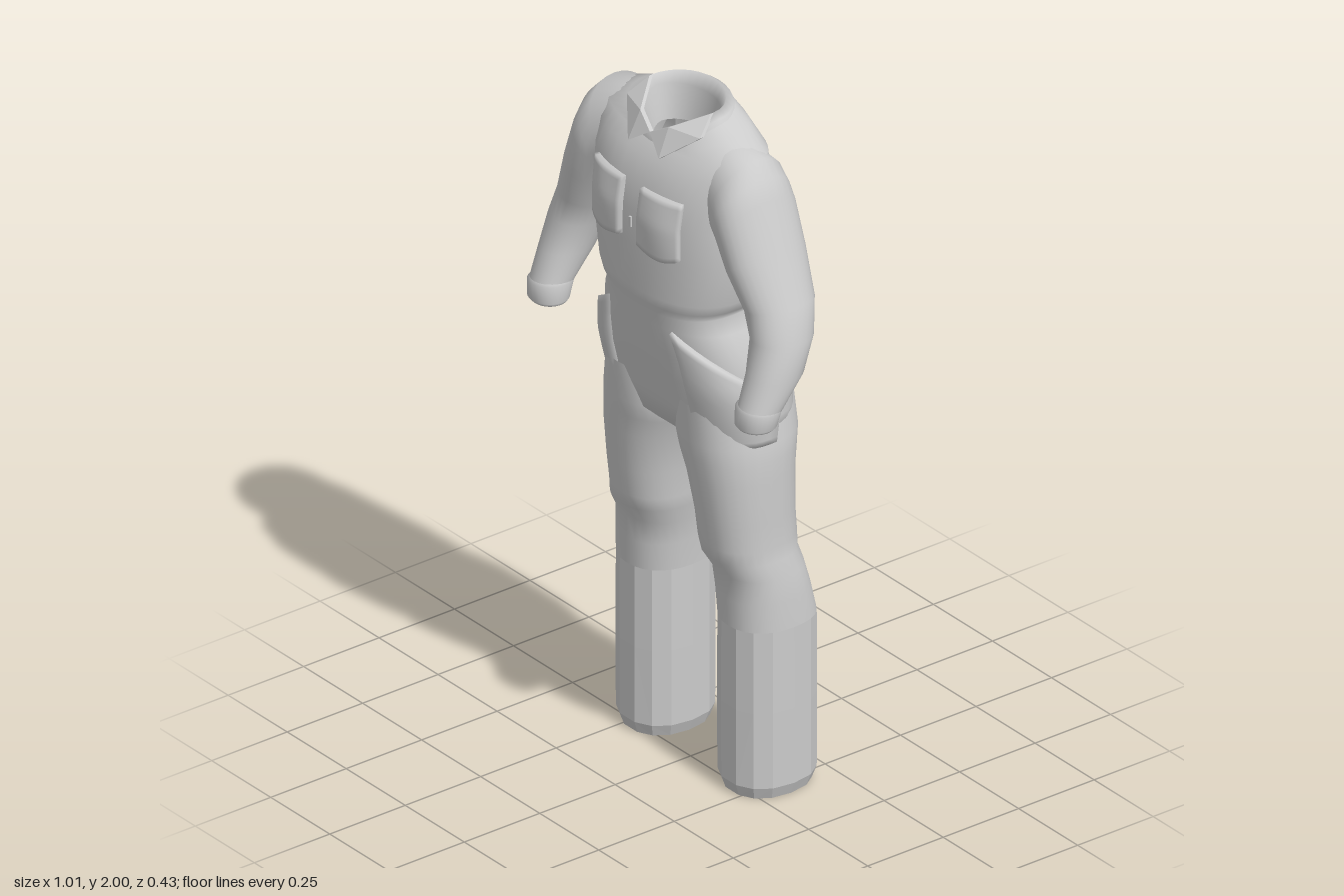
import * as THREE from 'three';

const smooth = new THREE.MeshStandardMaterial({ color: 0xcccccc, side: THREE.DoubleSide });
const faceted = new THREE.MeshStandardMaterial({ color: 0xcccccc, side: THREE.DoubleSide, flatShading: true });

// A section: outer point (ox, oy), inner point (ix, iy), front z, back z, dip of the front, lift of the back
const wide = ([y, rx, zf, zb, dip = 0, lift = 0]) => [rx, y, -rx, y, zf, zb, dip, lift];
const limb = ([y, xo, xi, zf, zb]) => [xo, y, xi, y, zf, zb, 0, 0];

// Point on a rounded-rectangle-like section at an angle (0 = outer side, PI/2 = front)
function sectionPoint([ox, oy, ix, iy, zf, zb, dip = 0, lift = 0], angle, power) {
  const soften = (v) => Math.sign(v) * Math.abs(v) ** (2 / power);
  const c = soften(Math.cos(angle)), s = soften(Math.sin(angle));
  const bend = s > 0 ? -dip * s ** 1.5 : lift * s * s;
  return new THREE.Vector3(
    (ox + ix) / 2 + c * (ox - ix) / 2,
    (oy + iy) / 2 + c * (oy - iy) / 2 + bend,
    (zf + zb) / 2 + s * (zf - zb) / 2);
}

function makeMesh(name, points, index, material) {
  let geo = new THREE.BufferGeometry().setFromPoints(points);
  geo.setIndex(index);
  if (material.flatShading) geo = geo.toNonIndexed();
  geo.computeVertexNormals();
  const mesh = new THREE.Mesh(geo, material);
  mesh.name = name;
  return mesh;
}

// Open tube through sections listed from bottom to top; side = -1 mirrors it
function loft(name, sections, { sides = 28, power = 2.3, side = 1, material = smooth } = {}) {
  const points = [], index = [];
  sections.forEach((section, i) => {
    for (let j = 0; j < sides; j++) {
      const p = sectionPoint(section, (j / sides) * Math.PI * 2, power);
      p.x *= side;
      points.push(p);
      if (i === 0) continue;
      const k = (j + 1) % sides, low = (i - 1) * sides, up = i * sides;
      const quad = [low + j, up + j, low + k, low + k, up + j, up + k];
      index.push(...(side > 0 ? quad : quad.reverse()));
    }
  });
  return makeMesh(name, points, index, material);
}

const BODY_POWER = 2.5;
const body = [
  [1.0, 0.16, 0.02, -0.1], [1.05, 0.285, 0.105, -0.18], [1.12, 0.29, 0.125, -0.207],
  [1.22, 0.288, 0.15, -0.2], [1.3, 0.272, 0.165, -0.185], [1.38, 0.24, 0.18, -0.145],
  [1.42, 0.215, 0.185, -0.13], [1.445, 0.235, 0.193, -0.145], [1.475, 0.25, 0.198, -0.165],
  [1.6, 0.275, 0.198, -0.155], [1.7, 0.275, 0.197, -0.142], [1.78, 0.28, 0.185, -0.132],
  [1.85, 0.288, 0.157, -0.122], [1.905, 0.285, 0.125, -0.108, 0.02],
  [1.94, 0.2, 0.12, -0.102, 0.045, 0.01], [1.97, 0.14, 0.12, -0.088, 0.07, 0.01],
].map(wide);

// Body section at any height
function bodySection(y) {
  const i = Math.max(1, body.findIndex((s) => s[1] >= y));
  const a = body[i - 1], b = body[i], t = (y - a[1]) / (b[1] - a[1]);
  return a.map((v, k) => v + (b[k] - v) * t);
}

// Patch pocket that wraps the body between two angles, puffed out by depth
function pocket(name, side, { from, to, top, bottom, depth }) {
  const n = 12, points = [], index = [];
  // The outermost grid lines are doubled to give the pocket a thick rim
  const steps = [0, ...Array.from({ length: n + 1 }, (_, i) => i / n), 1];
  const count = steps.length;
  steps.forEach((v, i) => steps.forEach((u, j) => {
    const angle = from + (to - from) * u;
    const y = bottom(u) + (top(u) - bottom(u)) * v;
    const rim = i === 0 || j === 0 || i === count - 1 || j === count - 1;
    const section = bodySection(y);
    const p = sectionPoint(section, angle, BODY_POWER);
    const out = new THREE.Vector3(Math.cos(angle) / section[0], 0, Math.sin(angle) / ((section[4] - section[5]) / 2));
    const puff = 0.6 + 0.4 * Math.sin(Math.PI * u) * Math.sin(Math.PI * Math.min(1, v * 0.8 + 0.1));
    p.addScaledVector(out.normalize(), rim ? -0.003 : depth * puff);
    p.x *= side;
    points.push(p);
    if (i && j) {
      const d = i * count + j, c = d - 1, b = d - count, a = b - 1;
      const quad = [a, b, c, b, d, c];
      index.push(...(side > 0 ? quad.reverse() : quad));
    }
  }));
  return makeMesh(name, points, index, smooth);
}

const thigh = [
  [0.5, 0.33, 0.1, 0.045, -0.215], [0.58, 0.326, 0.096, 0.048, -0.198], [0.65, 0.32, 0.088, 0.052, -0.18],
  [0.7, 0.31, 0.075, 0.08, -0.167], [0.74, 0.305, 0.069, 0.087, -0.17], [0.82, 0.305, 0.067, 0.097, -0.165],
  [0.94, 0.305, 0.043, 0.112, -0.17], [1.0, 0.303, 0.014, 0.118, -0.182], [1.05, 0.298, 0.005, 0.125, -0.192],
  [1.16, 0.275, 0.02, 0.13, -0.188],
].map(limb);

const trouserLeg = [
  [0, 0.317, 0.113, 0.033, -0.203], [0.035, 0.33, 0.1, 0.045, -0.215],
  [0.26, 0.331, 0.099, 0.046, -0.216], [0.5, 0.33, 0.1, 0.045, -0.215],
].map(limb);

const sleeve = [
  [0.499, 1.27, 0.384, 1.275, 0.176, 0.058], [0.506, 1.36, 0.373, 1.365, 0.145, -0.015],
  [0.503, 1.46, 0.35, 1.45, 0.118, -0.055], [0.47, 1.55, 0.322, 1.515, 0.116, -0.085],
  [0.412, 1.69, 0.278, 1.605, 0.14, -0.098], [0.365, 1.82, 0.238, 1.675, 0.145, -0.1],
  [0.34, 1.875, 0.22, 1.68, 0.142, -0.098], [0.302, 1.915, 0.2, 1.685, 0.132, -0.096],
  [0.2, 1.93, 0.15, 1.69, 0.11, -0.085],
];

const cuff = [
  [0.487, 1.22, 0.388, 1.22, 0.173, 0.08], [0.497, 1.23, 0.381, 1.23, 0.181, 0.074],
  [0.502, 1.275, 0.379, 1.28, 0.18, 0.058], [0.494, 1.285, 0.388, 1.29, 0.166, 0.06],
];

// Collar band: outer lower edge, fold, then down inside the neck
const collar = [
  [1.945, 0.165, 0.135, -0.106, 0.06, 0.01], [1.975, 0.148, 0.131, -0.094, 0.072, 0.012],
  [1.988, 0.13, 0.122, -0.075, 0.078, 0.012], [1.96, 0.118, 0.11, -0.06, 0.075, 0],
  [1.86, 0.1, 0.09, -0.05, 0.03, 0],
].map(wide);

// Pointed collar flap with a little thickness
function collarFlap(side) {
  const corners = [[0, 1.91, 0.135], [0.065, 1.865, 0.157], [0.155, 1.942, 0.09], [0.13, 1.987, 0.035], [0.06, 1.945, 0.12]];
  const points = [0, -0.012].flatMap((dz) => corners.map(([x, y, z]) => new THREE.Vector3(side * x, y, z + dz)));
  const index = [0, 1, 4, 1, 2, 4, 2, 3, 4, 5, 9, 6, 6, 9, 7, 7, 9, 8];
  for (let i = 0; i < 5; i++) {
    const k = (i + 1) % 5;
    index.push(i, i + 5, k, k, i + 5, k + 5);
  }
  return makeMesh('collarFlap', points, side > 0 ? index : index.reverse(), faceted);
}

export function createModel() {
  const model = new THREE.Group();
  model.name = 'coveralls';
  model.add(loft('body', body, { sides: 40, power: BODY_POWER }));
  model.add(loft('collar', collar, { sides: 32, power: 2 }));

  // Small pull on the front fastening
  const pull = new THREE.Mesh(new THREE.BoxGeometry(0.008, 0.03, 0.008), smooth);
  pull.name = 'zipPull';
  pull.position.set(0, 1.665, 0.199);
  model.add(pull);

  for (const side of [1, -1]) {
    const label = side > 0 ? 'left' : 'right';
    const half = new THREE.Group();
    half.name = label + 'Side';
    half.add(
      loft('thigh', thigh, { side }),
      loft('trouserLeg', trouserLeg, { side, sides: 14, material: faceted }),
      loft('sleeve', sleeve, { side, power: 2.1 }),
      loft('cuff', cuff, { side, power: 2.1 }),
      collarFlap(side),
      pocket('chestPocket', side, {
        from: 1.49, to: 0.96, depth: 0.022,
        top: () => 1.78, bottom: (u) => 1.615 - 0.015 * Math.sin(Math.PI * u),
      }),
      pocket('hipPocket', side, {
        from: 1.08, to: -0.05, depth: 0.024,
        top: (u) => 1.38 - 0.13 * Math.min(1, u * 1.3), bottom: () => 1.052,
      }));
    model.add(half);
  }
  return model;
}
